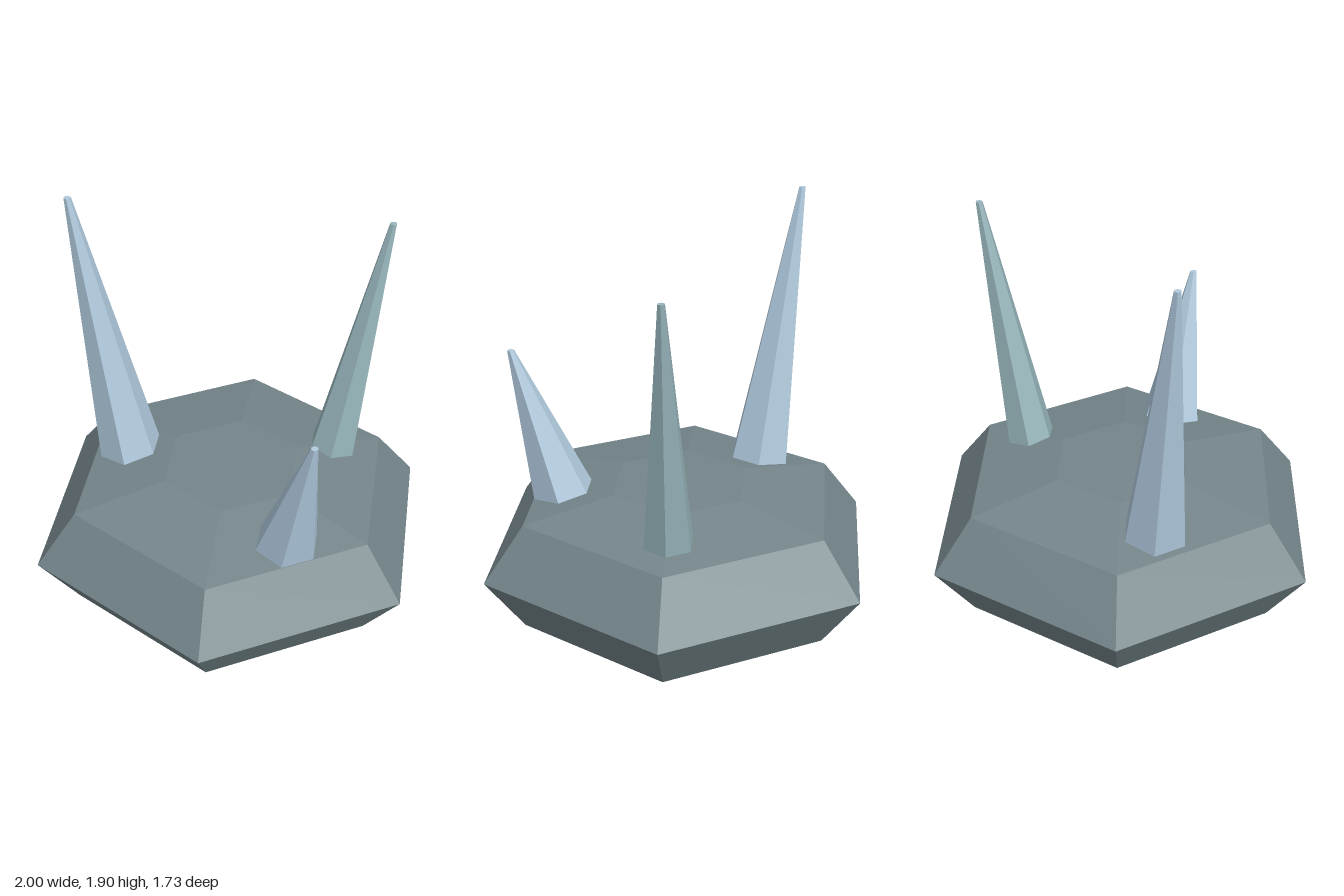
import * as THREE from 'three';

const flat = (name, color) => {
  const m = new THREE.MeshStandardMaterial({ color, flatShading: true });
  m.name = name;
  return m;
};

// Leaning six-sided spike: level rings whose centres shift from base to tip
function makeSpike(name, material, base, tip, baseRadius) {
  const height = tip[1] - base[1];
  const geo = new THREE.CylinderGeometry(0.017, baseRadius, height, 6);
  geo.rotateY(Math.PI / 2);
  geo.translate(0, height / 2, 0);
  const pos = geo.attributes.position;
  for (let i = 0; i < pos.count; i++) {
    const t = pos.getY(i) / height;
    pos.setX(i, pos.getX(i) + t * (tip[0] - base[0]));
    pos.setZ(i, pos.getZ(i) + t * (tip[2] - base[2]));
  }
  const flatGeo = geo.toNonIndexed();
  flatGeo.computeVertexNormals();
  const mesh = new THREE.Mesh(flatGeo, material);
  mesh.name = name;
  mesh.position.set(...base);
  return mesh;
}

export function createModel() {
  const group = new THREE.Group();
  group.name = 'crystalRock';
  const stone = flat('slate stone', 0x74858a);
  const ice = flat('pale blue crystal', 0xb0cade);
  const teal = flat('teal crystal', 0x97b6bc);

  // Hexagonal stone base with bevelled sides and a shallow domed top
  const profile = [[0, 0], [0.81, 0], [1, 0.27], [0.8, 0.53], [0.35, 0.595], [0, 0.598]]
    .map(([r, y]) => new THREE.Vector2(r, y));
  const baseGeo = new THREE.LatheGeometry(profile, 6, Math.PI / 2).toNonIndexed();
  baseGeo.computeVertexNormals();
  const base = new THREE.Mesh(baseGeo, stone);
  base.name = 'stoneBase';
  group.add(base);

  // Three crystal spikes leaning outwards
  group.add(
    makeSpike('tallSpike', ice, [-0.395, 0.53, -0.36], [-0.58, 1.905, -0.53], 0.159),
    makeSpike('middleSpike', teal, [0.535, 0.53, 0], [0.785, 1.77, 0], 0.123),
    makeSpike('shortSpike', ice, [0.05, 0.53, 0.553], [0.065, 1.267, 0.782], 0.158),
  );
  return group;
}
